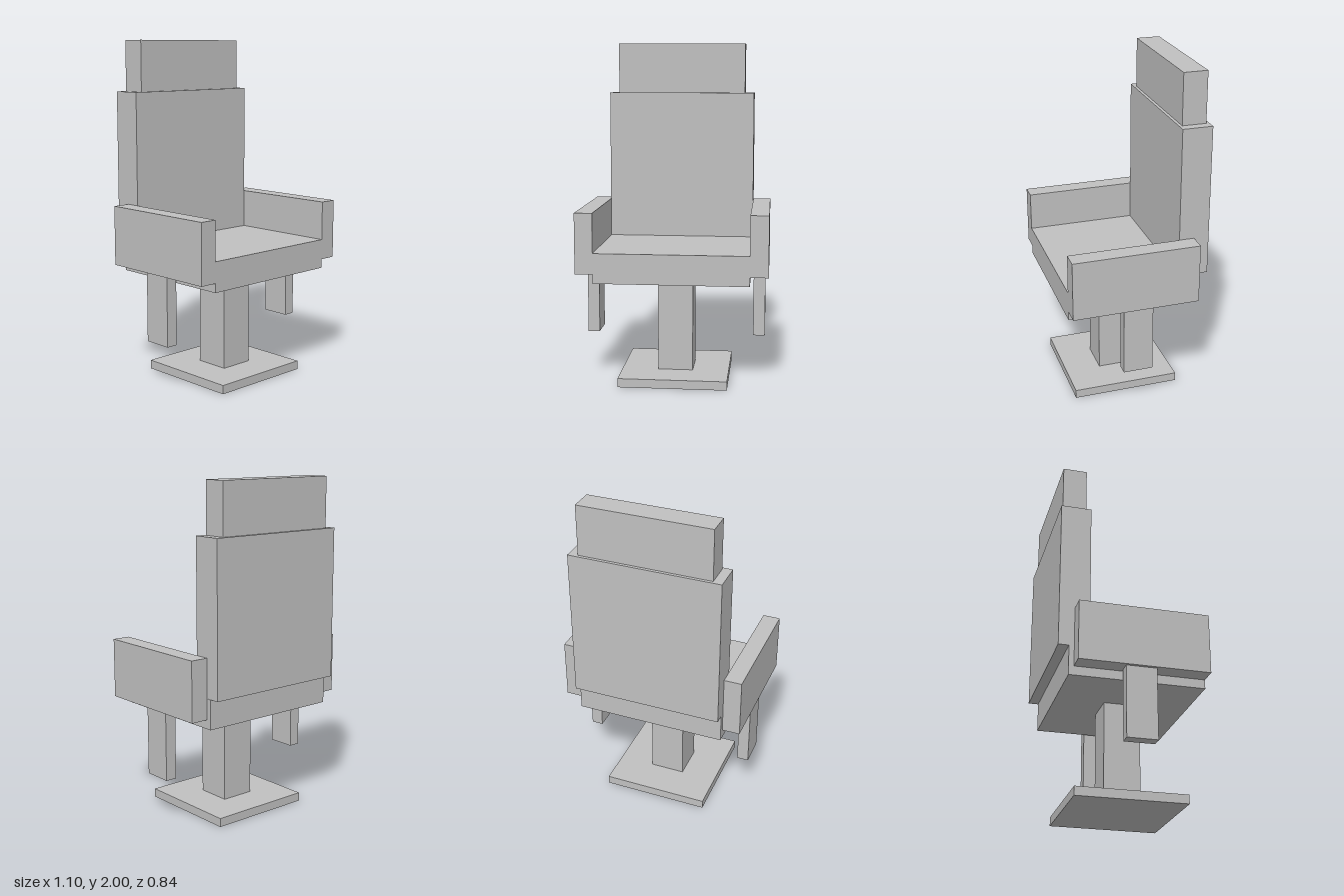
import * as THREE from 'three';

export function createModel() {
  const model = new THREE.Group();
  model.name = 'pedestalChair';

  const grey = new THREE.MeshStandardMaterial({ color: 0xc0c0c0 });
  grey.name = 'light grey';

  // Box given by its extents along each axis
  function box(name, [x0, x1], [y0, y1], [z0, z1]) {
    const mesh = new THREE.Mesh(new THREE.BoxGeometry(x1 - x0, y1 - y0, z1 - z0), grey);
    mesh.position.set((x0 + x1) / 2, (y0 + y1) / 2, (z0 + z1) / 2);
    mesh.name = name;
    model.add(mesh);
  }

  // Pedestal
  box('basePlate', [-0.322, 0.318], [0, 0.052], [-0.29, 0.35]);
  box('column', [-0.106, 0.102], [0.052, 0.63], [-0.075, 0.138]);

  // Seat, backrest and headrest
  box('seat', [-0.448, 0.446], [0.63, 0.805], [-0.36, 0.42]);
  box('backrest', [-0.448, 0.445], [0.805, 1.7], [-0.42, -0.242]);
  box('headrest', [-0.393, 0.389], [1.7, 2], [-0.402, -0.26]);

  // Armrests with the short posts hanging below them
  box('leftArmrest', [0.446, 0.552], [0.683, 1.036], [-0.33, 0.42]);
  box('rightArmrest', [-0.552, -0.448], [0.683, 1.036], [-0.33, 0.42]);
  box('leftArmPost', [0.462, 0.531], [0.27, 0.683], [-0.06, 0.115]);
  box('rightArmPost', [-0.534, -0.465], [0.27, 0.683], [-0.06, 0.115]);

  return model;
}
